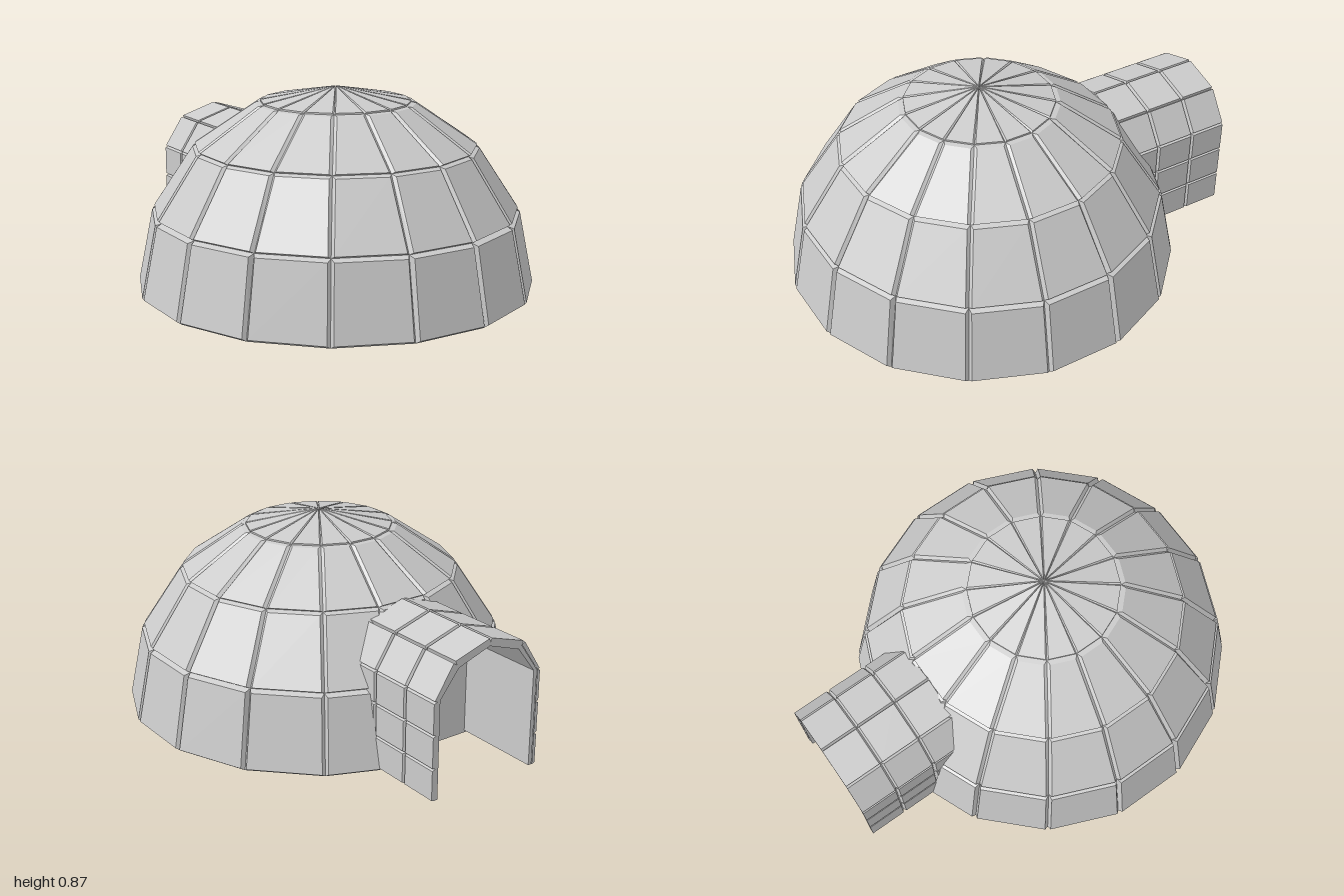
import * as THREE from 'three';

const SIDES = 16, CZ = 0.14, GAP = 0.013;
const V = (x, y, z) => new THREE.Vector3(x, y, z);
const mat = new THREE.MeshStandardMaterial({ color: 0xcccccc, flatShading: true, side: THREE.DoubleSide });

// One block: a raised outer quad with sloping sides down to its core quad
function addBlock(out, core, top) {
  const quad = (a, b, c, d) => [a, b, c, a, c, d].forEach(p => out.push(p.x, p.y, p.z));
  quad(...top);
  for (let i = 0; i < 4; i++) {
    const j = (i + 1) % 4;
    quad(core[i], core[j], top[j], top[i]);
  }
}

// Pull both ends of an edge inward to leave a groove
function inset(a, b, gap) {
  const t = Math.min(0.4, gap / Math.max(a.distanceTo(b), 1e-4));
  return [a.clone().lerp(b, t), b.clone().lerp(a, t)];
}

function meshFrom(positions, name) {
  const g = new THREE.BufferGeometry();
  g.setAttribute('position', new THREE.Float32BufferAttribute(positions, 3));
  g.computeVertexNormals();
  return named(g, name);
}

function named(geometry, name) {
  const m = new THREE.Mesh(geometry, mat);
  m.name = name;
  return m;
}

// Corner of the 16-sided dome at a given apothem and height
function corner(apothem, y, k) {
  const a = (k - 0.5) * 2 * Math.PI / SIDES, r = apothem / Math.cos(Math.PI / SIDES);
  return V(r * Math.sin(a), y, CZ + r * Math.cos(a));
}

// Lower or upper edge of a dome block; the lowest course is trimmed at the doorway
function domeEdge([apothem, y], k, ring) {
  let a = corner(apothem, y, k), b = corner(apothem, y, k + 1);
  if (ring === 0 && k === 7) b = a.clone().lerp(b, (a.x - 0.26) / (a.x - b.x));
  if (ring === 0 && k === 9) a = b.clone().lerp(a, (b.x + 0.26) / (b.x - a.x));
  if (ring === 1 && k === 8) [a, b].forEach(p => { p.z = Math.max(p.z, -0.595); });
  return [a, b];
}

function buildDome() {
  const dome = new THREE.Group();
  dome.name = 'dome';
  const core = [[0.838, 0], [0.765, 0.335], [0.59, 0.616], [0.32, 0.806], [0, 0.866]];
  const courses = [
    ['lowerCourse', [0.855, 0.012], [0.792, 0.325]],
    ['middleCourse', [0.782, 0.345], [0.612, 0.608]],
    ['upperCourse', [0.602, 0.624], [0.342, 0.803]],
    ['cap', [0.32, 0.813], [0.012, 0.873]],
  ];
  courses.forEach(([name, low, high], ring) => {
    const pos = [];
    for (let k = 0; k < SIDES; k++) {
      if (ring === 0 && k === 8) continue; // doorway
      const [a, b] = domeEdge(core[ring], k, ring), [d, c] = domeEdge(core[ring + 1], k, ring);
      const gap = ring === 3 ? GAP * 0.5 : GAP;
      const [oa, ob] = inset(...domeEdge(low, k, ring), gap);
      const [od, oc] = inset(...domeEdge(high, k, ring), gap);
      addBlock(pos, [a, b, c, d], [oa, ob, oc, od]);
    }
    dome.add(meshFrom(pos, name));
  });

  // Floor with a notch for the passage
  const pts = [];
  for (let k = 9; k <= 24; k++) {
    const p = corner(0.838, 0, k);
    if (k > 9 && k < 24) pts.push(new THREE.Vector2(p.x, p.z));
  }
  const edgeL = domeEdge(core[0], 9, 0)[0], edgeR = domeEdge(core[0], 7, 0)[1];
  pts.push(new THREE.Vector2(edgeR.x, edgeR.z), new THREE.Vector2(0.26, -0.6),
    new THREE.Vector2(-0.26, -0.6), new THREE.Vector2(edgeL.x, edgeL.z));
  const floor = new THREE.ShapeGeometry(new THREE.Shape(pts));
  floor.rotateX(Math.PI / 2);
  dome.add(named(floor, 'floor'));
  return dome;
}

// Mirror a half arch (from +x foot to apex) into a full one
const fullArch = half => [...half, ...half.slice(0, -1).reverse().map(([x, y]) => [-x, y])];

function buildTunnel() {
  const tunnel = new THREE.Group();
  tunnel.name = 'entranceTunnel';
  const arch = (w, foot, sx, sy, top) =>
    fullArch([[w, foot], [w, 0.15], [w, 0.293], [w, 0.435], [sx, sy], [0, top]]);
  const outer = arch(0.275, 0.01, 0.18, 0.58, 0.635);
  const core = arch(0.26, 0.01, 0.168, 0.564, 0.617);
  const inner = arch(0.243, 0.01, 0.155, 0.548, 0.6);
  const toShape = list => new THREE.Shape(list.map(([x, y]) => new THREE.Vector2(x, y)));

  // Thin arched lining
  const lining = new THREE.ExtrudeGeometry(toShape([...core, ...inner.slice().reverse()]),
    { depth: 0.535, bevelEnabled: false });
  lining.translate(0, 0, -0.997);
  tunnel.add(named(lining, 'tunnelLining'));

  // Three rows of blocks along the passage
  const zs = [-1, -0.825, -0.635, -0.455], pos = [];
  for (let r = 0; r < 3; r++) {
    const z0 = zs[r], z1 = zs[r + 1];
    const o0 = r === 0 ? z0 : z0 + 0.008, o1 = z1 - 0.008;
    for (let i = 0; i < outer.length - 1; i++) {
      const [p, q] = [core[i], core[i + 1]];
      const [s, t] = inset(V(...outer[i], 0), V(...outer[i + 1], 0), 0.006);
      addBlock(pos,
        [V(...p, z1), V(...p, z0), V(...q, z0), V(...q, z1)],
        [V(s.x, s.y, o1), V(s.x, s.y, o0), V(t.x, t.y, o0), V(t.x, t.y, o1)]);
    }
  }
  tunnel.add(meshFrom(pos, 'tunnelBlocks'));

  // Wall closing the passage
  const wall = new THREE.ShapeGeometry(toShape(inner.map(([x, y]) => [x * 1.02, y === 0.01 ? 0 : y])));
  wall.rotateY(Math.PI);
  wall.translate(0, 0, -0.6);
  tunnel.add(named(wall, 'passageEndWall'));
  return tunnel;
}

export function createModel() {
  const model = new THREE.Group();
  model.name = 'snowHouse';
  model.add(buildDome(), buildTunnel());
  return model;
}
